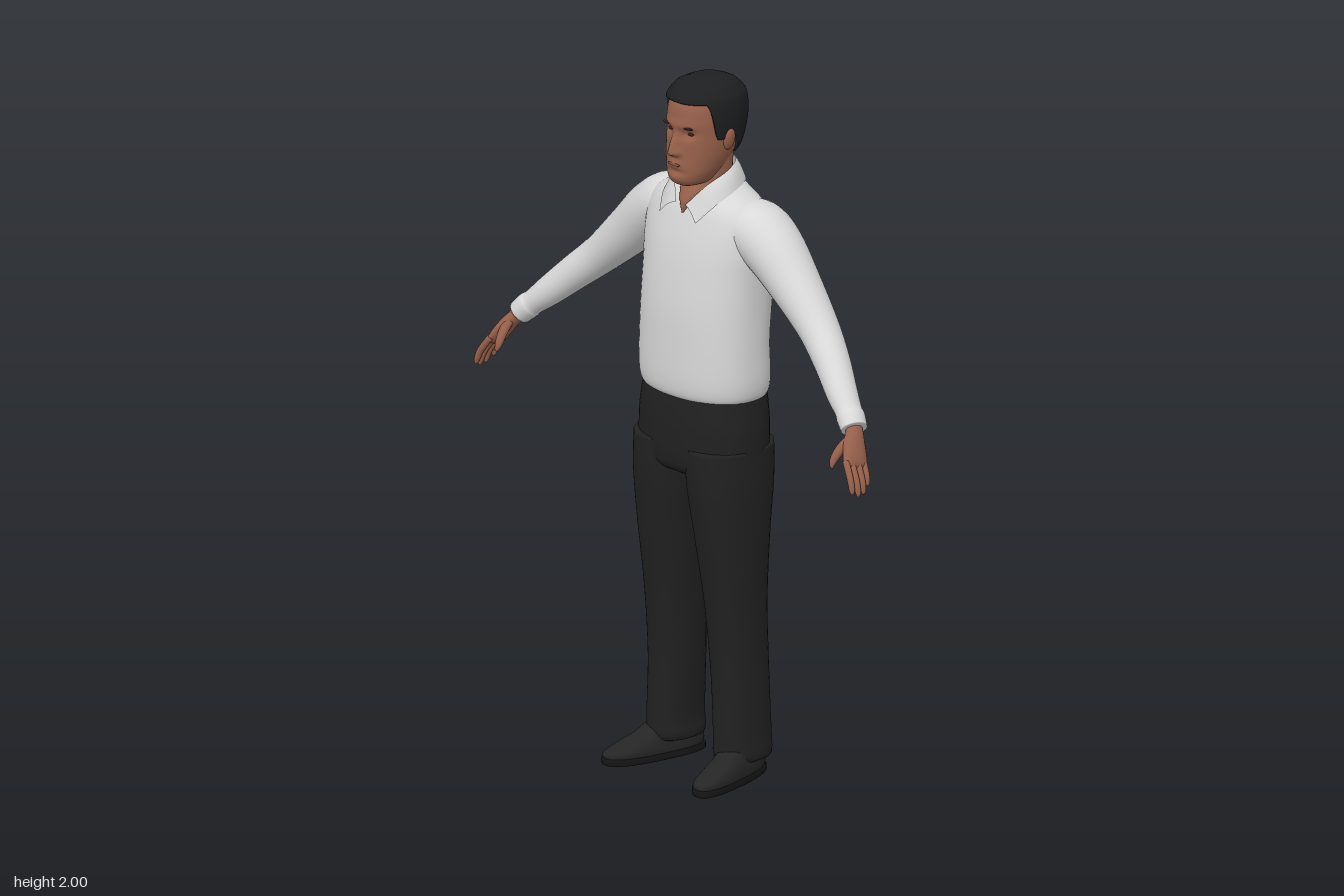
import * as THREE from 'three';

const material = (name, color, side = THREE.FrontSide) => {
  const m = new THREE.MeshStandardMaterial({ color, side });
  m.name = name;
  return m;
};

// Catmull-Rom sample of a list of cross-sections at index position f
function sample(list, f) {
  const n = list.length - 1, i = Math.min(Math.floor(f), n - 1), t = f - i;
  const [a, b, c, d] = [i - 1, i, i + 1, i + 2].map(k => list[Math.max(0, Math.min(n, k))]);
  return b.map((_, k) => b[k] + 0.5 * t * (c[k] - a[k] + t * (2 * a[k] - 5 * b[k] + 4 * c[k] - d[k]
    + t * (3 * (b[k] - c[k]) + d[k] - a[k]))));
}

// Same, but looked up by height (first column)
function sampleAt(list, y) {
  let i = 0;
  while (i < list.length - 2 && list[i + 1][0] < y) i++;
  return sample(list, i + (y - list[i][0]) / (list[i + 1][0] - list[i][0]));
}

// Closed skin over rings given by fn(angle, v), capped at both ends
function skinOver(cols, rows, fn) {
  const pos = [], idx = [];
  for (let j = 0; j <= rows; j++)
    for (let i = 0; i < cols; i++) pos.push(...fn(i / cols * Math.PI * 2, j / rows));
  for (let j = 0; j < rows; j++)
    for (let i = 0; i < cols; i++) {
      const a = j * cols + i, b = j * cols + (i + 1) % cols, c = a + cols, d = b + cols;
      idx.push(a, c, b, b, c, d);
    }
  for (const j of [0, rows]) {
    const centre = [0, 0, 0], k = pos.length / 3;
    for (let i = 0; i < cols; i++)
      for (let q = 0; q < 3; q++) centre[q] += pos[(j * cols + i) * 3 + q] / cols;
    pos.push(...centre);
    for (let i = 0; i < cols; i++) {
      const a = j * cols + i, b = j * cols + (i + 1) % cols;
      j ? idx.push(a, k, b) : idx.push(a, b, k);
    }
  }
  const geo = new THREE.BufferGeometry();
  geo.setAttribute('position', new THREE.Float32BufferAttribute(pos, 3));
  geo.setIndex(idx);
  geo.computeVertexNormals();
  return geo;
}

// Point on a horizontal ring; section = [y, centreX, halfWidth, frontZ, backZ]
function ringPoint([y, cx, rx, zf, zb], a, power = 2.2) {
  const round = c => Math.sign(c) * Math.abs(c) ** (2 / power);
  return [cx + rx * round(Math.cos(a)), y, (zf + zb) / 2 + (zf - zb) / 2 * round(Math.sin(a))];
}
const stack = (list, rule = p => p, cols = 40, rows = 40, power) =>
  skinOver(cols, rows, (a, v) => rule(ringPoint(sample(list, v * (list.length - 1)), a, power)));

// Limb along a path; section = [x, y, z, thickness, depth]
function limb(list, cols = 24, rows = 28) {
  const n = list.length - 1;
  return skinOver(cols, rows, (a, v) => {
    const s = sample(list, v * n);
    const p = sample(list, Math.max(0, v * n - 0.05)), q = sample(list, Math.min(n, v * n + 0.05));
    const t = new THREE.Vector3(q[0] - p[0], q[1] - p[1], q[2] - p[2]).normalize();
    const u = t.clone().cross(new THREE.Vector3(0, 0, 1)).normalize();
    const w = u.clone().cross(t);
    return new THREE.Vector3(s[0], s[1], s[2])
      .addScaledVector(u, s[3] * Math.cos(a)).addScaledVector(w, s[4] * Math.sin(a)).toArray();
  });
}

function mirrored(geo) {
  const g = geo.clone().scale(-1, 1, 1), ix = g.index.array;
  for (let i = 0; i < ix.length; i += 3) [ix[i], ix[i + 1]] = [ix[i + 1], ix[i]];
  g.computeVertexNormals();
  return g;
}

const blob = (x, y, z, sx, sy, sz, tilt = 0) =>
  new THREE.SphereGeometry(1, 20, 14).scale(sx, sy, sz).rotateZ(tilt).translate(x, y, z);

export function createModel() {
  const model = new THREE.Group();
  model.name = 'standingMan';
  const skin = material('skin', 0x96604a), shirt = material('shirt', 0xd8d8d8);
  const collarCloth = material('collar cloth', 0xd2d2d2, THREE.DoubleSide);
  const trousers = material('trousers', 0x212122), hairMat = material('hair', 0x1d1f20);
  const leather = material('shoe leather', 0x252526), rubber = material('sole', 0x151515);
  const dark = material('eye brown', 0x36221b), lip = material('lips', 0x80493c);
  const add = (name, geo, mat) => {
    const m = new THREE.Mesh(geo, mat);
    m.name = name;
    model.add(m);
  };
  const pair = (name, geo, mat) => {
    add(name + 'Left', geo, mat);
    add(name + 'Right', mirrored(geo), mat);
  };

  // Shirt body
  add('shirtBody', stack([
    [1.095, 0, 0.184, 0.1, -0.155], [1.115, 0, 0.195, 0.112, -0.165], [1.16, 0, 0.2, 0.117, -0.168],
    [1.25, 0, 0.198, 0.116, -0.165], [1.35, 0, 0.197, 0.112, -0.175], [1.45, 0, 0.2, 0.1, -0.183],
    [1.53, 0, 0.207, 0.085, -0.183], [1.6, 0, 0.203, 0.065, -0.167], [1.645, 0, 0.175, 0.048, -0.148],
    [1.68, 0, 0.12, 0.024, -0.13], [1.71, 0, 0.078, 0, -0.113]], undefined, 56, 60, 2.3), shirt);

  // Sleeves with a slightly fuller cuff
  pair('sleeve', limb([
    [0.08, 1.59, -0.065, 0.06, 0.09], [0.16, 1.58, -0.066, 0.085, 0.094], [0.23, 1.542, -0.065, 0.083, 0.088],
    [0.32, 1.462, -0.06, 0.07, 0.074], [0.42, 1.37, -0.048, 0.056, 0.06], [0.5, 1.3, -0.022, 0.049, 0.052],
    [0.57, 1.235, 0.008, 0.042, 0.045], [0.615, 1.195, 0.025, 0.035, 0.039], [0.63, 1.182, 0.031, 0.037, 0.041],
    [0.655, 1.157, 0.042, 0.034, 0.038]], 32, 56), shirt);

  // Collar folded around the neck, open at the front
  const edge = half => new THREE.CatmullRomCurve3([...half, ...half.slice(0, -1).reverse().map(([x, y, z]) => [-x, y, z])]
    .map(p => new THREE.Vector3(...p)));
  const top = edge([[0.018, 1.648, 0.066], [0.06, 1.705, 0.025], [0.077, 1.738, -0.04], [0.055, 1.755, -0.09], [0, 1.76, -0.108]]);
  const fall = edge([[0.07, 1.61, 0.079], [0.102, 1.66, 0.028], [0.108, 1.688, -0.04], [0.075, 1.698, -0.11], [0, 1.7, -0.132]]);
  const collar = new THREE.PlaneGeometry(1, 1, 48, 4), cp = collar.attributes.position;
  for (let i = 0; i < cp.count; i++) {
    const u = cp.getX(i) + 0.5, v = 0.5 - cp.getY(i);
    const p = top.getPoint(u).lerp(fall.getPoint(u), v);
    cp.setXYZ(i, p.x, p.y + 0.008 * Math.sin(v * Math.PI), p.z);
  }
  collar.computeVertexNormals();
  add('collar', collar, collarCloth);

  // Neck, narrowing into the open shirt front
  add('neck', stack([
    [1.62, 0, 0.006, 0.062, -0.02], [1.65, 0, 0.03, 0.061, -0.05], [1.68, 0, 0.056, 0.046, -0.09],
    [1.71, 0, 0.067, 0.028, -0.1], [1.75, 0, 0.068, 0.028, -0.102], [1.8, 0, 0.068, 0.02, -0.11]]), skin);

  // Head with the face raised by smooth bumps
  const g = (d, s) => Math.exp(-((d / s) ** 2)), step = THREE.MathUtils.smoothstep;
  const face = ([x, y, z]) => {
    if (z < 0.02) return [x, y, z];
    const s = Math.abs(x);
    const nose = 0.027 * g(x, 0.013) * (1 - step(y, 1.805, 1.878)) * step(y, 1.785, 1.803);
    const wings = 0.008 * g(s - 0.015, 0.008) * g(y - 1.803, 0.011);
    const sockets = -0.013 * g(s - 0.036, 0.019) * g(y - 1.857, 0.014);
    const brow = 0.005 * g(y - 1.88, 0.012) * g(x, 0.06);
    const mouth = 0.007 * g(x, 0.023) * g(y - 1.768, 0.011) - 0.005 * g(x, 0.03) * g(y - 1.747, 0.008);
    const chin = 0.006 * g(x, 0.025) * g(y - 1.728, 0.014);
    return [x, y, z + nose + wings + sockets + brow + mouth + chin];
  };
  add('head', stack([
    [1.698, 0, 0.02, 0.058, -0.01], [1.712, 0, 0.05, 0.083, -0.04], [1.74, 0, 0.068, 0.091, -0.065],
    [1.775, 0, 0.08, 0.089, -0.095], [1.81, 0, 0.087, 0.087, -0.12], [1.85, 0, 0.09, 0.085, -0.135],
    [1.9, 0, 0.09, 0.083, -0.14], [1.94, 0, 0.085, 0.072, -0.13], [1.97, 0, 0.065, 0.045, -0.1],
    [1.985, 0, 0.03, 0, -0.05]], face, 96, 80), skin);
  pair('ear', blob(0.094, 1.835, -0.028, 0.011, 0.032, 0.019, -0.2), skin);
  pair('eye', blob(0.036, 1.857, 0.064, 0.013, 0.005, 0.005), dark);
  pair('eyebrow', blob(0.038, 1.876, 0.077, 0.02, 0.0035, 0.006, 0.05), dark);
  add('lips', blob(0, 1.768, 0.0915, 0.023, 0.005, 0.006), lip);

  // Short hair, its lower edge following the hairline
  const cap = [
    [1.76, 0, 0.072, 0.08, -0.1], [1.8, 0, 0.09, 0.085, -0.128], [1.84, 0, 0.096, 0.088, -0.145],
    [1.9, 0, 0.1, 0.088, -0.153], [1.95, 0, 0.095, 0.083, -0.146], [1.98, 0, 0.073, 0.06, -0.118],
    [1.995, 0, 0.042, 0.025, -0.08], [2, 0, 0.008, -0.02, -0.04]];
  add('hair', skinOver(96, 40, (a, v) => {
    const d = Math.sin(a);
    const low = 1.782 + 0.058 * step(d, -0.6, -0.15) + 0.105 * step(d, 0.3, 0.62);
    const y = low + (2 - low) * Math.sin(Math.max(0, v - 0.025) / 0.975 * Math.PI / 2);
    const [x, , z] = ringPoint(sampleAt(cap, y), a);
    const k = v === 0 ? 0.88 : 1;
    return [x * k, y, (z + 0.03) * k - 0.03];
  }), hairMat);

  // Hands: palm, four fingers and a thumb
  pair('palm', limb([
    [0.635, 1.185, 0.034, 0.022, 0.026], [0.66, 1.15, 0.046, 0.02, 0.026], [0.68, 1.12, 0.066, 0.019, 0.036],
    [0.7, 1.085, 0.082, 0.015, 0.04], [0.708, 1.07, 0.088, 0.008, 0.034]], 20, 16), skin);
  [0.058, 0.08, 0.101, 0.12].forEach((z, i) => {
    const reach = [0.82, 1, 1.03, 0.92][i], r = 0.0095;
    pair('finger' + (i + 1), limb([
      [0.696, 1.092, z - 0.006, r, r], [0.696 + 0.03 * reach, 1.092 - 0.045 * reach, z + 0.004, r, r],
      [0.696 + 0.042 * reach, 1.092 - 0.078 * reach, z + 0.008, 0.008, 0.008],
      [0.696 + 0.043 * reach, 1.092 - 0.09 * reach, z + 0.009, 0.003, 0.003]], 10, 10), skin);
  });
  pair('thumb', limb([
    [0.667, 1.142, 0.064, 0.013, 0.013], [0.66, 1.115, 0.1, 0.014, 0.013], [0.655, 1.085, 0.122, 0.011, 0.01],
    [0.657, 1.066, 0.13, 0.004, 0.004]], 12, 12), skin);

  // Trousers: seat and two legs
  add('trouserSeat', stack([
    [0.865, 0, 0.14, 0.06, -0.11], [0.9, 0, 0.192, 0.104, -0.15], [1, 0, 0.199, 0.112, -0.16],
    [1.08, 0, 0.19, 0.108, -0.16], [1.13, 0, 0.184, 0.1, -0.155]], undefined, 48, 30, 2.4), trousers);
  pair('trouserLeg', stack([
    [0.055, 0.13, 0.06, 0.036, -0.128], [0.075, 0.13, 0.064, 0.046, -0.132], [0.13, 0.13, 0.062, 0.047, -0.13],
    [0.3, 0.123, 0.066, 0.046, -0.125], [0.5, 0.118, 0.073, 0.062, -0.12], [0.7, 0.112, 0.086, 0.09, -0.132],
    [0.85, 0.104, 0.098, 0.108, -0.15], [0.96, 0.1, 0.098, 0.11, -0.155]], undefined, 36, 50, 2.3), trousers);

  // Shoes turned slightly outward
  const toeOut = ([x, y, z]) => [x + (z + 0.05) * 0.2, y, z];
  pair('shoe', stack([
    [0.016, 0.133, 0.049, 0.176, -0.124], [0.032, 0.133, 0.05, 0.176, -0.126], [0.05, 0.133, 0.048, 0.135, -0.124],
    [0.07, 0.132, 0.046, 0.078, -0.122], [0.1, 0.13, 0.042, 0.03, -0.115]], toeOut, 40, 24, 2.5), leather);
  pair('sole', stack([
    [0, 0.133, 0.05, 0.176, -0.127], [0.003, 0.133, 0.053, 0.181, -0.13], [0.017, 0.133, 0.053, 0.181, -0.13],
    [0.02, 0.133, 0.05, 0.176, -0.127]], toeOut, 40, 6, 2.5), rubber);

  return model;
}
